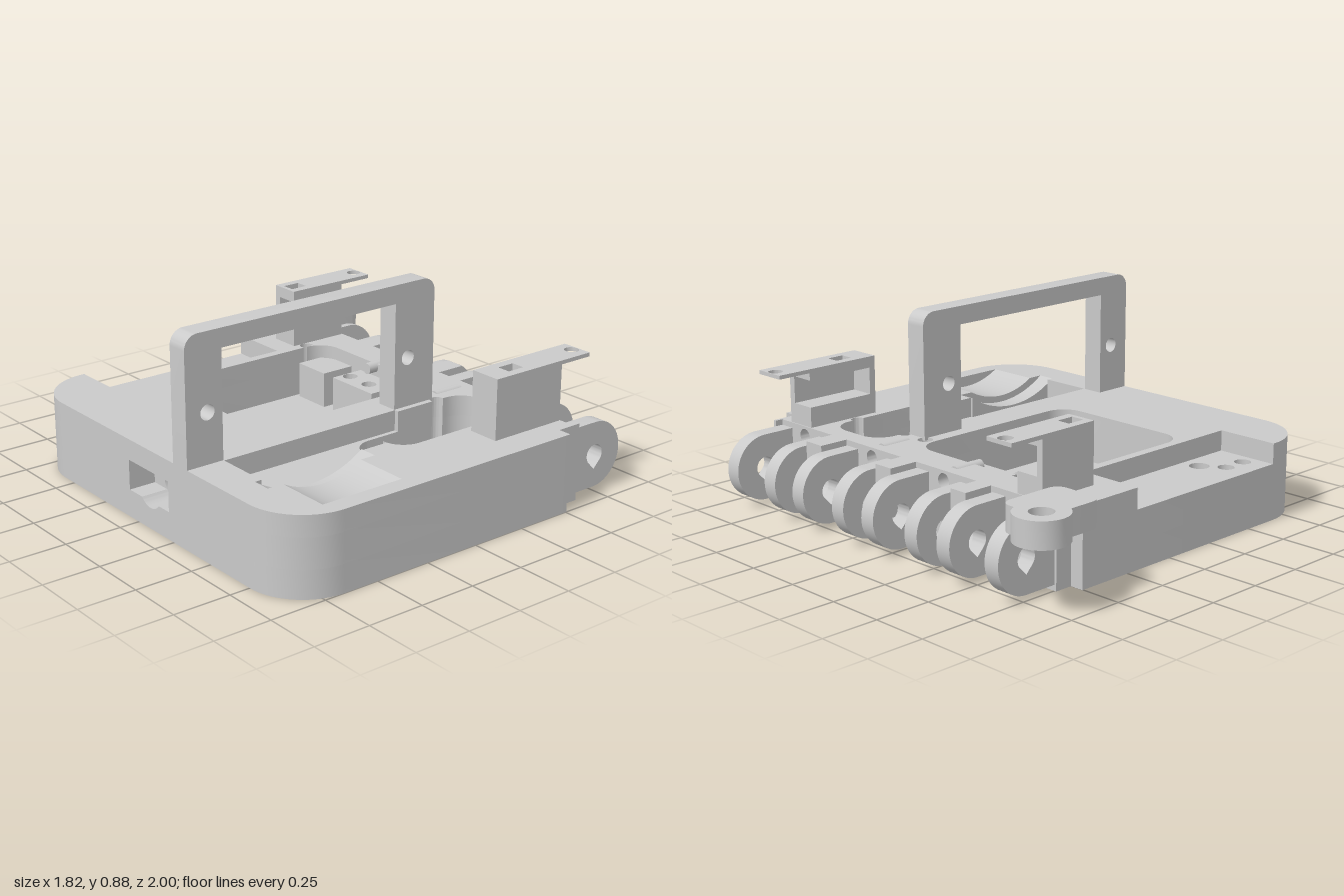
import * as THREE from 'three';
import { toCreasedNormals } from 'three/addons/utils/BufferGeometryUtils.js';

const gray = new THREE.MeshStandardMaterial({ color: 0xcacaca });
gray.name = 'plain gray';

// Closed outline from [a, b, cornerRadius] points
function outline(pts, path = new THREE.Shape()) {
  const n = pts.length, k = 0.5523;
  pts.forEach(([x, y, r = 0], i) => {
    const p = new THREE.Vector2(x, y);
    const toward = (q, d) => p.clone().add(new THREE.Vector2(q[0] - x, q[1] - y).setLength(d));
    const prev = pts[(i + n - 1) % n], next = pts[(i + 1) % n];
    const a = r ? toward(prev, r) : p, b = r ? toward(next, r) : p;
    if (i) path.lineTo(a.x, a.y); else path.moveTo(a.x, a.y);
    if (r) {
      const c = toward(prev, r * (1 - k)), d = toward(next, r * (1 - k));
      path.bezierCurveTo(c.x, c.y, d.x, d.y, b.x, b.y);
    }
  });
  path.closePath();
  return path;
}
const circle = (x, y, r) => new THREE.Path().absarc(x, y, r, 0, Math.PI * 2, true);
const flip = pts => pts.map(([x, z, r]) => [x, -z, r]);
const rect = (x0, z0, x1, z1) => [[x0, z0], [x1, z0], [x1, z1], [x0, z1]];

export function createModel() {
  const model = new THREE.Group();
  function add(name, geometry) {
    const mesh = new THREE.Mesh(geometry, gray);
    mesh.name = name;
    model.add(mesh);
  }
  // Extrude with the outline turned counter-clockwise so hole walls face outward
  function extrude(source, depth) {
    const { shape: pts, holes } = source.extractPoints(14);
    const shape = new THREE.Shape(THREE.ShapeUtils.isClockWise(pts) ? pts.reverse() : pts);
    shape.holes = holes.map(h => new THREE.Path(THREE.ShapeUtils.isClockWise(h) ? h : h.reverse()));
    return new THREE.ExtrudeGeometry(shape, { depth, bevelEnabled: false });
  }
  const crease = g => toCreasedNormals(g, 0.6);
  // Plan (x, z) shape extruded up; holes are point lists or [x, z, r] circles
  function plan(name, pts, y0, y1, polys = [], circles = []) {
    const s = outline(flip(pts));
    polys.forEach(p => s.holes.push(outline(flip(p), new THREE.Path())));
    circles.forEach(([x, z, r]) => s.holes.push(circle(x, -z, r)));
    add(name, crease(extrude(s, y1 - y0).rotateX(-Math.PI / 2).translate(0, y0, 0)));
  }
  // (x, y) shape extruded along z
  const alongZ = (name, s, z0, z1) => add(name, crease(extrude(s, z1 - z0).translate(0, 0, z0)));
  // (-z, y) shape extruded along x
  const alongX = (name, s, x0, x1) => add(name, crease(extrude(s, x1 - x0).rotateY(Math.PI / 2).translate(x0, 0, 0)));
  function box(name, x0, x1, y0, y1, z0, z1) {
    add(name, new THREE.BoxGeometry(x1 - x0, y1 - y0, z1 - z0).translate((x0 + x1) / 2, (y0 + y1) / 2, (z0 + z1) / 2));
  }

  // Screw hole positions
  const R = 0.033;
  const backHoles = [[-0.585, -0.71, 0.036], [-0.475, -0.71, 0.036]];
  const boltHoles = [[-0.41, -0.62, 0.043], [0.035, -0.62, 0.043]];
  const railHoles = zs => zs.map(z => [0.35, z, R]);

  // Bottom layer, split by the cross channel, with nut pockets underneath
  const backEnd = [[0.52, -0.76], [0.505, -0.76], [0.505, -0.82], [-0.91, -0.82, 0.25]];
  const frontEnd = [[0.52, 0.94], [0.505, 0.94], [0.505, 1], [-0.91, 1, 0.25]];
  plan('baseFloorBack', [[-0.91, 0.03], [0.52, 0.03], ...backEnd], 0, 0.12,
    boltHoles.map(([x, z]) => rect(x - 0.075, z - 0.048, x + 0.075, z + 0.06)),
    [...backHoles, ...railHoles([-0.515, -0.2, -0.07]), [-0.67, -0.1, R]]);
  plan('baseFloorFront', [[-0.91, 0.15], [0.52, 0.15], ...frontEnd], 0, 0.12, [],
    [...railHoles([0.245, 0.375, 0.69]), [-0.69, 0.22, R]]);

  // Cross channel: trough below, arch above
  const cr = Math.hypot(0.06, 0.05), ca = Math.atan2(0.05, 0.06);
  const trough = new THREE.Shape();
  trough.moveTo(-0.15, 0).lineTo(-0.03, 0).lineTo(-0.03, 0.12);
  trough.absarc(-0.09, 0.17, cr, -ca, -Math.PI + ca, true);
  trough.closePath();
  alongX('channelTrough', trough, -0.91, 0.52);
  for (const [x0, x1, z0, z1] of [[-0.79, -0.44, -0.06, 0.22], [0.44, 0.52, -0.02, 0.19]]) {
    const arch = new THREE.Shape();
    arch.moveTo(-z1, 0.12).lineTo(-0.15, 0.12);
    arch.absarc(-0.09, 0.17, cr, Math.PI + ca, -ca, true);
    arch.lineTo(-z0, 0.12).lineTo(-z0, 0.25).lineTo(-z1, 0.25).closePath();
    alongX('channelArch', arch, x0, x1);
  }

  // Middle layer walls around the pockets
  const backBump = [[0.32, -0.5], [0.32, -0.545, 0.029], [0.38, -0.545, 0.029], [0.38, -0.5]];
  const frontPocketRight = [[0.32, 0.38], [0.32, 0.345, 0.029], [0.38, 0.345, 0.029], [0.38, 0.38],
    [0.5, 0.38, 0.1], [0.5, 0.69, 0.1],
    [0.38, 0.69], [0.38, 0.72, 0.029], [0.32, 0.72, 0.029], [0.32, 0.69], [-0.13, 0.69, 0.1]];
  const dial = [[-0.25, 0.68], [-0.32, 0.68], [-0.32, 0.92], [-0.7, 0.92], [-0.7, 0.68], [-0.77, 0.68], [-0.77, 0.6]];
  plan('baseWallBack', [[-0.91, -0.06], [-0.44, -0.06], [-0.44, -0.5, 0.1], ...backBump, [0.44, -0.5, 0.1],
    [0.44, -0.02], [0.52, -0.02], ...backEnd], 0.12, 0.25, [], [...backHoles, ...boltHoles]);
  plan('baseWallFront', [[-0.91, 0.22], [-0.44, 0.22], [-0.44, 0.2], [0.44, 0.2], [0.44, 0.19], [0.52, 0.19], ...frontEnd],
    0.12, 0.25, [[[-0.13, 0.38, 0.1], ...frontPocketRight], [[-0.25, 0.6], ...dial]], railHoles([0.245]));

  // Top layer with the back shelf cut away
  plan('baseTop', [[0.52, 0.94], [0.505, 0.94], [0.505, 1], [-0.91, 1, 0.25], [-0.91, -0.82, 0.25], [-0.65, -0.82],
    [-0.65, -0.54], [0.2, -0.54], [0.2, -0.82], [0.505, -0.82], [0.505, -0.76], [0.52, -0.76]], 0.25, 0.34,
  [[[-0.44, 0.2, 0.1], [-0.44, -0.5, 0.1], ...backBump, [0.44, -0.5, 0.1], [0.44, 0.2, 0.1]],
    [[-0.74, 0.36], [0.13, 0.36], [0.13, 0.38], ...frontPocketRight, [-0.13, 0.61], [-0.25, 0.61], ...dial, [-0.74, 0.6]]],
  railHoles([0.245]));

  // Shallow rounded cradle in the front left pocket
  for (const [half, sag, z0, z1] of [[0.19, 0.05, 0.68, 0.92], [0.26, 0.08, 0.6, 0.68]]) {
    const r = (half * half + sag * sag) / (2 * sag), a = Math.asin(half / r);
    const s = new THREE.Shape();
    s.moveTo(-0.51 - half, 0.12).lineTo(-0.51 + half, 0.12).lineTo(-0.51 + half, 0.34);
    s.absarc(-0.51, 0.34 + r - sag, r, a - Math.PI / 2, -a - Math.PI / 2, true);
    s.closePath();
    alongZ('cradle', s, z0, z1);
  }

  // Platforms and pins inside the main pocket
  plan('pocketPlatform', rect(0.28, -0.235, 0.44, 0.03), 0.12, 0.28, [], railHoles([-0.2, -0.07]));
  plan('pocketPlatform', rect(0.28, -0.48, 0.44, -0.3), 0.12, 0.28);
  for (const z of [-0.14, 0.31]) {
    add('pin', new THREE.CylinderGeometry(0.025, 0.025, 0.14, 20).rotateZ(Math.PI / 2).translate(0.465, 0.323, z));
  }

  // Hinge rail with cross holes
  const rail = outline([[-0.94, 0], [0.76, 0], [0.76, 0.34], [-0.94, 0.34]]);
  [0.765, 0.315, -0.13, -0.575].forEach(z => rail.holes.push(circle(-z, 0.295, R)));
  rail.holes.push(circle(-0.09, 0.17, 0.08));
  alongX('hingeRail', rail, 0.52, 0.585);
  box('railEnd', 0.52, 0.62, 0, 0.34, 0.925, 0.94);

  // Hinge knuckles with teardrop bores
  for (const z of [-0.715, -0.45, -0.265, -0.005, 0.18, 0.44, 0.63, 0.89]) {
    const s = new THREE.Shape();
    s.moveTo(0.57, 0.025).lineTo(0.735, 0.025);
    s.absarc(0.735, 0.17, 0.145, -Math.PI / 2, Math.PI / 2, false);
    s.lineTo(0.57, 0.315).closePath();
    const bore = new THREE.Path().absarc(0.735, 0.17, 0.045, -0.75, Math.PI + 0.75, false);
    bore.lineTo(0.735, 0.105).closePath();
    s.holes.push(bore);
    alongZ('hingeKnuckle', s, z - 0.036, z + 0.036);
  }

  // Notched stops between the knuckle pairs
  for (const [z0, z1] of [[-0.405, -0.32], [0.48, 0.58]]) {
    const s = new THREE.Shape();
    s.moveTo(0.57, 0).lineTo(0.72, 0).lineTo(0.72, 0.12);
    s.absarc(0.72, 0.17, 0.05, -Math.PI / 2, -Math.PI * 1.5, true);
    s.lineTo(0.72, 0.34).lineTo(0.57, 0.34).closePath();
    alongZ('hingeStop', s, z0, z1);
  }
  box('hingeStopUpper', 0.57, 0.72, 0.25, 0.34, 0.035, 0.13);
  box('hingeStopLower', 0.57, 0.72, 0, 0.09, 0.035, 0.13);

  // Handle arch
  const handle = outline([[-0.91, 0.33], [-0.91, 0.88, 0.06], [0.34, 0.88, 0.06], [0.34, 0.33],
    [0.13, 0.33], [0.13, 0.8], [-0.74, 0.8], [-0.74, 0.33]]);
  handle.holes.push(circle(-0.81, 0.555, R), circle(0.2, 0.555, R));
  alongZ('handle', handle, 0.26, 0.355);

  // Clip brackets: base, outer wall, slotted roof, notched tongue
  for (const [x0, z0, z1, outer] of [[0.22, 0.725, 0.865, 0.835], [0.3, -0.68, -0.545, -0.68]]) {
    const zm = (z0 + z1) / 2;
    box('bracketBase', x0, 0.58, 0.335, 0.43, z0, z1);
    box('bracketWall', x0, 0.58, 0.43, 0.55, outer, outer + 0.03);
    plan('bracketRoof', rect(x0, z0, 0.58, z1), 0.55, 0.6, [rect(0.32, zm - 0.03, 0.4, zm + 0.03)]);
    plan('bracketTongue', rect(0.58, z0, 0.74, z1), 0.583, 0.6, [], [[0.707, zm, 0.031]]);
  }
  box('bracketEndWall', 0.22, 0.25, 0.43, 0.55, 0.725, 0.835);

  // Corner eyelet
  plan('eyeletArm', [[0.53, -0.94, 0.05], [0.69, -0.94], [0.72, -0.82], [0.83, -0.82], [0.83, -0.71, 0.05], [0.53, -0.71, 0.05]], 0.29, 0.4);
  const ring = new THREE.Shape().absarc(0.793, 0.888, 0.112, 0, Math.PI * 2, false);
  ring.holes.push(circle(0.793, 0.888, 0.05));
  add('eyeletRing', crease(extrude(ring, 0.11).rotateX(-Math.PI / 2).translate(0, 0.29, 0)));
  return model;
}
